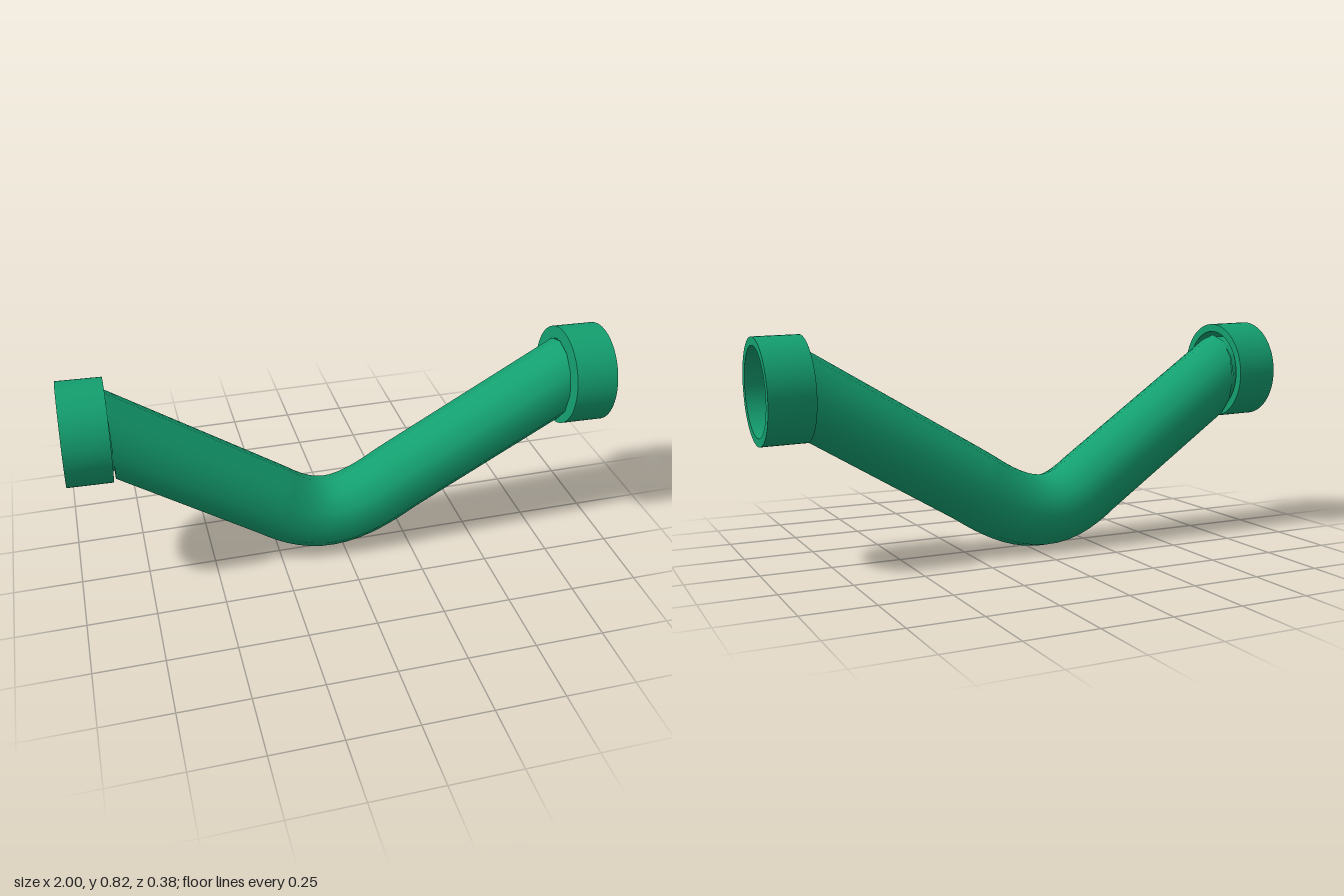
import * as THREE from 'three';
import { toCreasedNormals } from 'three/addons/utils/BufferGeometryUtils.js';

const green = new THREE.MeshStandardMaterial({ color: 0x14a070, side: THREE.DoubleSide });
const V = (x, y, z) => new THREE.Vector3(x, y, z);

function addMesh(parent, geometry, name) {
  const mesh = new THREE.Mesh(geometry, green);
  mesh.name = name;
  parent.add(mesh);
  return mesh;
}

// Twelve-sided pipe: two straight arms joined by a soft bend, ends cut upright
function pipeGeometry() {
  const left = V(-0.83, 0.615, -0.015), right = V(0.835, 0.615, 0);
  const bendA = V(-0.26, 0.227, -0.026), bendB = V(0.22, 0.249, -0.024);
  const path = new THREE.CurvePath();
  path.add(new THREE.LineCurve3(left, bendA));
  path.add(new THREE.CubicBezierCurve3(bendA, V(-0.104, 0.107, -0.03), V(0.016, 0.108, -0.03), bendB));
  path.add(new THREE.LineCurve3(bendB, right));

  const rings = 56, sides = 12;
  const geometry = new THREE.TubeGeometry(path, rings, 0.136, sides, false);
  const pos = geometry.attributes.position;
  const tangentL = bendA.clone().sub(left), tangentR = right.clone().sub(bendB);
  const p = V(0, 0, 0);
  const slide = (i, tangent, x) => {
    p.fromBufferAttribute(pos, i).addScaledVector(tangent, (x - p.x) / tangent.x);
    pos.setXYZ(i, p.x, p.y, p.z);
  };
  // slide the end vertices along the arm onto the upright end planes
  for (let i = 0; i < pos.count; i++) {
    const ring = Math.floor(i / (sides + 1));
    if (ring === 0 || pos.getX(i) < left.x) slide(i, tangentL, left.x);
    else if (ring === rings || pos.getX(i) > right.x) slide(i, tangentR, right.x);
  }
  return geometry;
}

// Cup-shaped collar, open towards +x, with a sliver opening in its floor
function makeCollar(name, x, y, z) {
  const collar = new THREE.Group();
  collar.name = name;

  const profile = [[0.184, 0], [0.184, 0.16], [0.155, 0.16], [0.155, 0]].map(a => new THREE.Vector2(...a));
  const wall = toCreasedNormals(new THREE.LatheGeometry(profile, 64), 0.6);
  addMesh(collar, wall.rotateZ(-Math.PI / 2), 'collarWall');

  const disc = new THREE.Shape().absarc(0, 0, 0.184, 0, Math.PI * 2);
  const sliver = [[0.03, 0.135], [0.05, 0.13], [0.125, 0.035], [0.125, -0.01], [0.095, -0.075]];
  disc.holes.push(new THREE.Path(sliver.map(a => new THREE.Vector2(...a))));
  const floor = new THREE.ShapeGeometry(disc, 64);
  addMesh(collar, floor.rotateY(Math.PI / 2), 'collarFloor');

  collar.position.set(x, y, z);
  collar.rotation.z = -0.027;
  return collar;
}

export function createModel() {
  const model = new THREE.Group();
  model.name = 'bentPipe';
  addMesh(model, pipeGeometry(), 'pipe');

  // Straight neck that carries the pipe through the left-hand cup
  const neck = new THREE.CylinderGeometry(0.14, 0.14, 0.16, 12, 1, true).rotateZ(Math.PI / 2);
  addMesh(model, neck, 'pipeNeck').position.set(-0.91, 0.632, -0.012);

  model.add(makeCollar('collarAtMinusX', -0.995, 0.642, -0.01));
  model.add(makeCollar('collarAtPlusX', 0.835, 0.632, 0.005));
  return model;
}
